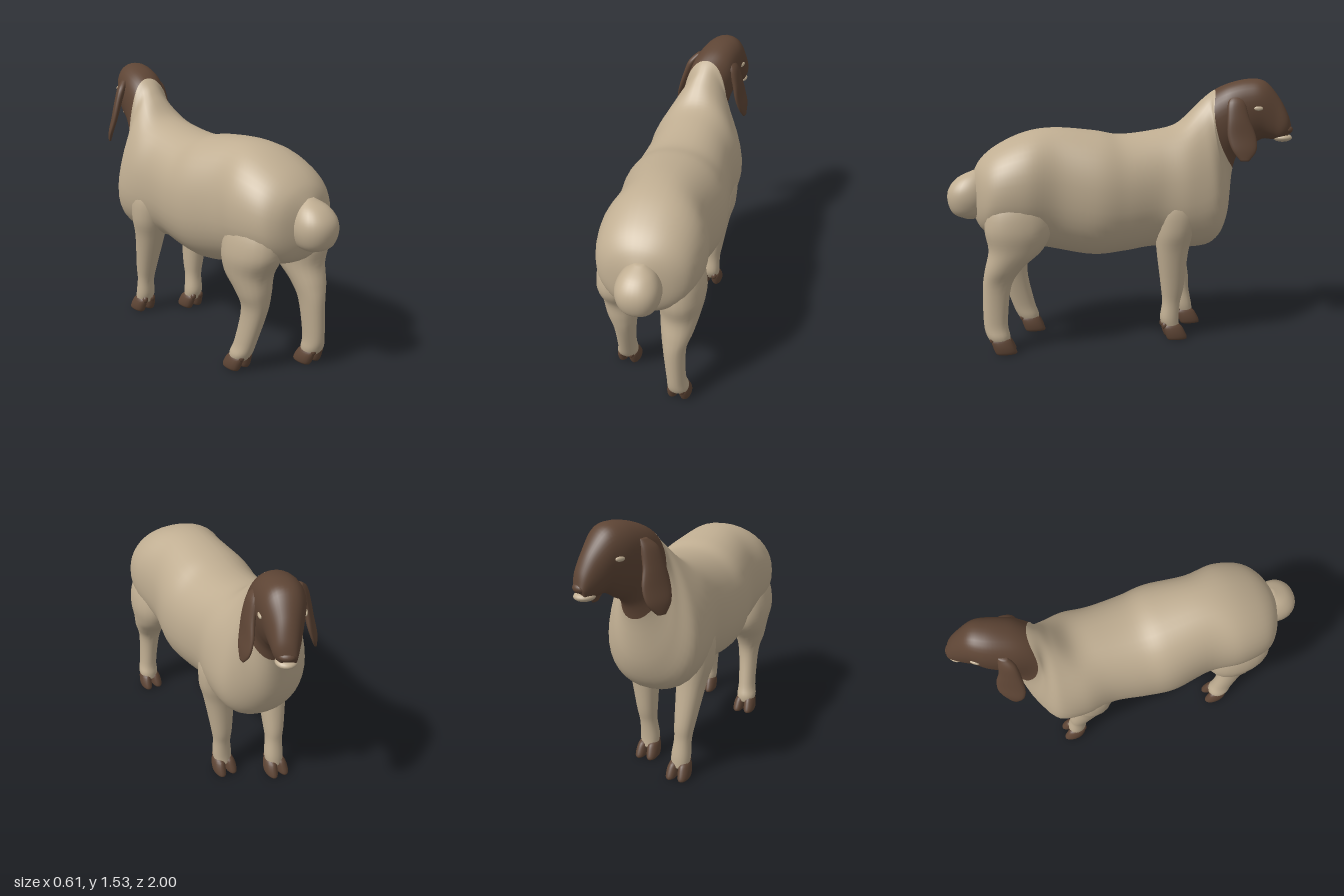
import * as THREE from 'three';

const wool = new THREE.MeshStandardMaterial({ color: 0xc0ae92 });
wool.name = 'cream wool';
const brown = new THREE.MeshStandardMaterial({ color: 0x5e4535 });
brown.name = 'dark brown';

// Smooth interpolation through the columns of a section list
function sample(sections, t) {
  const last = sections.length - 1;
  const k = Math.min(Math.floor(t), last - 1), f = t - k;
  const [p0, p1, p2, p3] = [k - 1, k, k + 1, k + 2]
    .map(i => sections[Math.max(0, Math.min(last, i))]);
  return p1.map((b, j) => {
    const a = p0[j], c = p2[j], d = p3[j];
    return b + 0.5 * f * (c - a + f * (2 * a - 5 * b + 4 * c - d + f * (3 * (b - c) + d - a)));
  });
}

// Section: centre x, y, z, half width, half height vector (y, z), yaw,
// taper (narrower at the top) and bow (sides pushed backwards)
function ringPoint([x, y, z, w, vy, vz, yaw = 0, taper = 0, bow = 0], angle) {
  const round = v => Math.sign(v) * Math.abs(v) ** 0.92;
  const s = round(Math.sin(angle));
  const across = round(Math.cos(angle)) * w * (1 - taper * s);
  const along = s * vz + bow * Math.cos(angle) ** 2;
  const cy = Math.cos(yaw), sy = Math.sin(yaw);
  return new THREE.Vector3(x + across * cy - along * sy, y + s * vy, z + across * sy + along * cy);
}

// Closed skin over the sections; sections from index `split` on use the second material
function loft(sections, { sides = 28, steps = 5, split = 0 } = {}) {
  const rings = (sections.length - 1) * steps;
  const pos = [], index = [];
  for (let k = 0; k <= rings; k++) {
    const s = sample(sections, k / steps);
    for (let i = 0; i < sides; i++) pos.push(...ringPoint(s, (i / sides) * Math.PI * 2).toArray());
  }
  const first = pos.length / 3;
  pos.push(...sections[0].slice(0, 3), ...sections.at(-1).slice(0, 3));
  for (let i = 0; i < sides; i++) index.push(first, i, (i + 1) % sides);
  let seam = 0;
  for (let k = 0; k < rings; k++) {
    if (k === split * steps) seam = index.length;
    for (let i = 0; i < sides; i++) {
      const a = k * sides + i, b = k * sides + (i + 1) % sides;
      index.push(a, a + sides, b, b, a + sides, b + sides);
    }
  }
  for (let i = 0; i < sides; i++) index.push(first + 1, rings * sides + (i + 1) % sides, rings * sides + i);
  const g = new THREE.BufferGeometry();
  g.setAttribute('position', new THREE.Float32BufferAttribute(pos, 3));
  g.setIndex(index);
  if (split) {
    g.addGroup(0, seam, 0);
    g.addGroup(seam, index.length - seam, 1);
  }
  g.computeVertexNormals();
  return g;
}

function add(parent, name, geometry, material) {
  const mesh = new THREE.Mesh(geometry, material);
  mesh.name = name;
  parent.add(mesh);
  return mesh;
}

function ellipsoid(parent, name, material, position, radii, yaw = 0) {
  const mesh = add(parent, name, new THREE.SphereGeometry(1, 20, 14), material);
  mesh.position.set(...position);
  mesh.scale.set(...radii);
  mesh.rotation.y = yaw;
}

// Trunk section from its top and bottom points
const slice = ([ty, tz, by, bz, w, x = 0, yaw = 0, taper = 0, bow = 0]) =>
  [x, (ty + by) / 2, (tz + bz) / 2, w, (ty - by) / 2, (tz - bz) / 2, yaw, taper, bow];

// Top y, z, bottom y, z, half width, then centre x, yaw, taper, bow
const body = [
  [1.00, 0.86, 0.78, 0.86, 0.06],
  [1.09, 0.81, 0.70, 0.82, 0.19],
  [1.17, 0.71, 0.66, 0.76, 0.265],
  [1.24, 0.55, 0.61, 0.60, 0.295],
  [1.262, 0.38, 0.56, 0.40, 0.272],
  [1.24, 0.15, 0.515, 0.18, 0.305],
  [1.215, 0, 0.525, 0, 0.29],
  [1.235, -0.20, 0.545, -0.18, 0.268],
  [1.27, -0.34, 0.53, -0.36, 0.282, 0, 0, 0.08],
  [1.36, -0.44, 0.56, -0.54, 0.25, 0, 0, 0.28],
  [1.42, -0.50, 0.72, -0.635, 0.178, 0.01, 0, 0.22, 0.02],
];
const head = [
  [1.465, -0.56, 1.00, -0.675, 0.132, 0.02, 0.1, 0.05, 0.065],
  [1.505, -0.64, 1.10, -0.71, 0.128, 0.045, 0.25, -0.15, 0.03],
  [1.53, -0.75, 1.14, -0.77, 0.12, 0.07, 0.38, -0.2],
  [1.515, -0.84, 1.18, -0.83, 0.103, 0.10, 0.4, -0.15],
  [1.42, -0.92, 1.18, -0.88, 0.08, 0.125, 0.4],
  [1.32, -0.97, 1.175, -0.92, 0.062, 0.145, 0.4],
  [1.25, -0.99, 1.185, -0.965, 0.04, 0.15, 0.4],
];

// Legs: y, x, rear z, front z, half width
const hindLeg = [
  [1.00, 0.11, 0.72, 0.50, 0.06],
  [0.86, 0.155, 0.78, 0.45, 0.115],
  [0.72, 0.17, 0.805, 0.43, 0.13],
  [0.60, 0.17, 0.787, 0.48, 0.113],
  [0.49, 0.167, 0.81, 0.60, 0.088],
  [0.38, 0.16, 0.825, 0.665, 0.062],
  [0.18, 0.172, 0.826, 0.69, 0.052],
  [0.10, 0.18, 0.81, 0.68, 0.06],
  [0.06, 0.18, 0.78, 0.68, 0.052],
];
const frontLeg = [
  [1.00, 0.11, -0.24, -0.40, 0.05],
  [0.84, 0.16, -0.18, -0.43, 0.105],
  [0.68, 0.168, -0.175, -0.40, 0.108],
  [0.54, 0.158, -0.185, -0.37, 0.085],
  [0.32, 0.145, -0.215, -0.35, 0.06],
  [0.22, 0.14, -0.225, -0.33, 0.05],
  [0.12, 0.135, -0.215, -0.325, 0.056],
  [0.06, 0.135, -0.24, -0.33, 0.05],
];

function buildLeg(name, profile, side, shift) {
  const leg = new THREE.Group();
  leg.name = name;
  const sections = profile.map(([y, x, back, front, w]) => {
    const z = (back + front) / 2 + shift * THREE.MathUtils.clamp((0.75 - y) / 0.62, 0, 1);
    return [side * x, y, z, w, 0, (front - back) / 2];
  });
  add(leg, 'limb', loft(sections, { sides: 20 }), wool);
  // Cloven hoof: two toes sloping forward, and two dewclaws behind
  const [fx, , fz] = sections.at(-1);
  for (const s of [-1, 1]) {
    const x = fx + s * 0.03;
    add(leg, 'toe', loft([
      [x, 0.095, fz + 0.008, 0.014, 0, -0.03],
      [x, 0.08, fz + 0.004, 0.029, 0, -0.054],
      [x + s * 0.004, 0.045, fz - 0.01, 0.035, 0, -0.061],
      [x + s * 0.006, 0.012, fz - 0.023, 0.033, 0, -0.062],
      [x + s * 0.006, 0, fz - 0.026, 0.026, 0, -0.057],
    ], { sides: 16, steps: 3 }), brown);
    ellipsoid(leg, 'dewclaw', brown, [fx + s * 0.028, 0.085, fz + 0.05], [0.018, 0.022, 0.018]);
  }
  return leg;
}

// Hanging ear: distance outward, y, z offset, half thickness, half breadth
const earShape = [
  [0, 1.445, 0, 0.015, 0.025],
  [0.03, 1.40, 0.012, 0.026, 0.05],
  [0.057, 1.31, 0.008, 0.024, 0.064],
  [0.076, 1.21, -0.008, 0.02, 0.082],
  [0.096, 1.13, -0.02, 0.016, 0.07],
  [0.108, 1.07, -0.02, 0.008, 0.025],
];

export function createModel() {
  const model = new THREE.Group();
  model.name = 'sheep';
  const trunk = [...body, ...head].map(slice);
  add(model, 'bodyNeckAndHead', loft(trunk, { sides: 40, steps: 6, split: body.length }), [wool, brown]);

  // Round fat tail: y, z, radius
  const tail = [[1.03, 0.83, 0.025], [0.99, 0.86, 0.08], [0.93, 0.878, 0.114],
    [0.86, 0.882, 0.119], [0.79, 0.882, 0.092], [0.755, 0.875, 0.03]];
  add(model, 'tail', loft(tail.map(([y, z, r]) => [0.01, y, z, r, 0, -r])), wool);

  // The right pair of legs stands ahead of the left pair
  model.add(buildLeg('leftHindLeg', hindLeg, 1, 0));
  model.add(buildLeg('rightHindLeg', hindLeg, -1, -0.2));
  model.add(buildLeg('leftFrontLeg', frontLeg, 1, 0));
  model.add(buildLeg('rightFrontLeg', frontLeg, -1, -0.155));

  // Ears and pale almond eyes, following the turn of the head
  for (const [name, side, rootX, rootZ, yaw, eyeAngle, eyeYaw] of [
    ['left', 1, 0.128, -0.66, 0.12, 0.08, -0.25],
    ['right', -1, -0.06, -0.71, 0.6, Math.PI - 0.1, -0.6],
  ]) {
    const sections = earShape.map(([out, y, dz, w, b]) => [rootX + side * out, y, rootZ + dz, w, 0, -b, yaw]);
    add(model, name + 'Ear', loft(sections, { sides: 20 }), brown);
    const place = ringPoint(sample(trunk, body.length + 2.65), eyeAngle).toArray();
    ellipsoid(model, name + 'Eye', wool, place, [0.009, 0.013, 0.026], eyeYaw);
  }

  // Pale lips and dark nostril pad
  ellipsoid(model, 'lips', wool, [0.142, 1.19, -0.94], [0.055, 0.025, 0.056], -0.4);
  ellipsoid(model, 'nose', brown, [0.15, 1.237, -0.962], [0.046, 0.028, 0.036], -0.4);
  return model;
}
